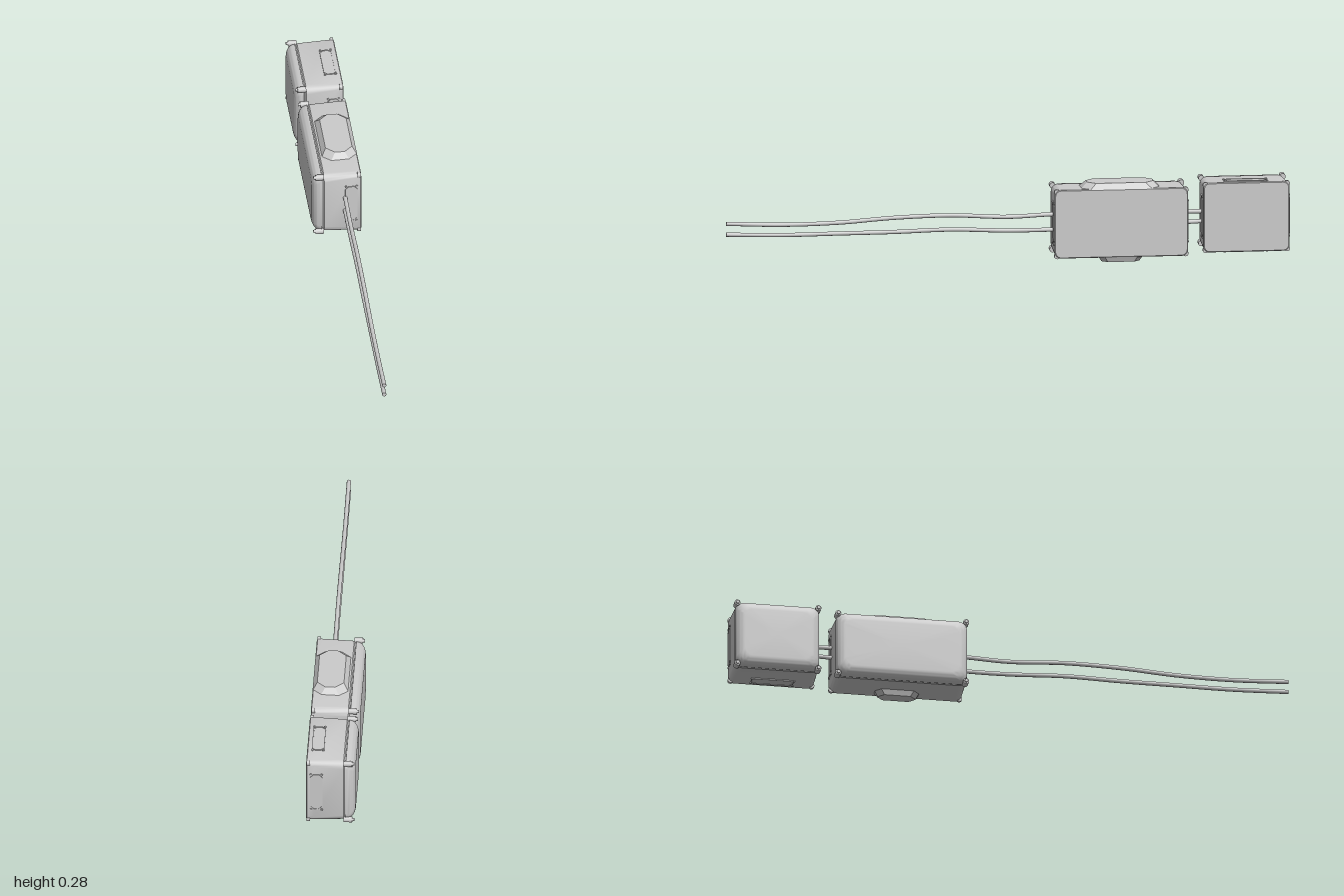
import * as THREE from 'three';
import { toCreasedNormals } from 'three/addons/utils/BufferGeometryUtils.js';

const grey = new THREE.MeshStandardMaterial({ color: 0xcccccc, side: THREE.DoubleSide });

function add(parent, name, geometry, x = 0, y = 0, z = 0) {
  const mesh = new THREE.Mesh(geometry, grey);
  mesh.name = name;
  mesh.position.set(x, y, z);
  parent.add(mesh);
  return mesh;
}

// Rounded-rectangle cross-sections [x, halfDepth, halfHeight, radius] joined along x.
function loft(sections) {
  const steps = 6, n = 4 * (steps + 1), pos = [], index = [];
  for (const [x, hz, hy, radius] of sections) {
    const r = Math.min(radius, hz, hy);
    for (let c = 0; c < 4; c++) {
      const sz = c === 0 || c === 3 ? 1 : -1, sy = c < 2 ? 1 : -1;
      for (let k = 0; k <= steps; k++) {
        const a = (c + k / steps) * Math.PI / 2;
        pos.push(x, sy * (hy - r) + r * Math.sin(a), sz * (hz - r) + r * Math.cos(a));
      }
    }
  }
  for (let i = 0; i < sections.length - 1; i++) {
    for (let j = 0; j < n; j++) {
      const a = i * n + j, b = i * n + (j + 1) % n;
      index.push(a, b, a + n, b, b + n, a + n);
    }
  }
  const g = new THREE.BufferGeometry();
  g.setAttribute('position', new THREE.Float32BufferAttribute(pos, 3));
  g.setIndex(index);
  return toCreasedNormals(g, 0.6);
}

// Rectangle with chamfered corners.
function octagon(w, h, c, Type = THREE.Shape) {
  const x = w / 2, y = h / 2;
  return new Type([[x, c - y], [x, y - c], [x - c, y], [c - x, y], [-x, y - c], [-x, c - y], [c - x, -y], [x - c, -y]]
    .map(([a, b]) => new THREE.Vector2(a, b)));
}

// Knockout cover: thin rim, sunken plate and four corner screws, facing local +z.
function knockout(length) {
  const g = new THREE.Group(), w = 0.044;
  const rim = octagon(w, length, 0.012);
  rim.holes.push(octagon(w - 0.007, length - 0.007, 0.01, THREE.Path));
  add(g, 'coverRim', new THREE.ExtrudeGeometry(rim, { depth: 0.004, bevelEnabled: false }), 0, 0, -0.001);
  add(g, 'coverPlate', new THREE.ExtrudeGeometry(octagon(w - 0.006, length - 0.006, 0.01), { depth: 0.002, bevelEnabled: false }), 0, 0, -0.001);
  for (const sx of [-1, 1]) for (const sy of [-1, 1]) {
    const screw = add(g, 'coverScrew', new THREE.CylinderGeometry(0.004, 0.004, 0.006, 12), sx * 0.019, sy * length / 2, 0.001);
    screw.rotation.x = Math.PI / 2;
  }
  return g;
}

function junctionBox(name, hz, hy) {
  const g = new THREE.Group();
  g.name = name;

  // Open-side tray with a flat mounting face
  add(g, 'tray', loft([
    [0.088, 0, 0, 0], [0.088, hz - 0.003, hy - 0.003, 0.02], [0.085, hz, hy, 0.02],
    [0.06, hz, hy, 0.022], [-0.044, hz - 0.002, hy - 0.002, 0.026],
    [-0.048, hz - 0.006, hy - 0.006, 0.026], [-0.048, 0, 0, 0],
  ]));

  // Domed lid: straight rim, then a quarter-round edge
  const lid = [[-0.046, hz - 0.006, hy - 0.006, 0.026], [-0.051, hz - 0.006, hy - 0.006, 0.026], [-0.052, hz - 0.002, hy - 0.002, 0.028]];
  for (let i = 0; i <= 8; i++) {
    const a = i / 8 * Math.PI / 2, inset = 0.003 + 0.032 * (1 - Math.cos(a));
    lid.push([-0.056 - 0.03 * Math.sin(a), hz - inset, hy - inset, 0.03]);
  }
  lid.push([-0.086, 0, 0, 0]);
  add(g, 'lid', loft(lid));

  // Corner lugs, lid screws and mounting feet
  for (const sy of [-1, 1]) for (const sz of [-1, 1]) {
    const y = sy * (hy - 0.008), z = sz * (hz - 0.008);
    for (const [part, r, len, x] of [['lidLug', 0.0105, 0.03, -0.06], ['lidScrew', 0.006, 0.008, -0.078], ['mountingLug', 0.01, 0.012, 0.08]]) {
      add(g, part, new THREE.CylinderGeometry(r, r, len, 16), x, y, z).rotation.z = Math.PI / 2;
    }
  }

  // Knockout covers on both ends
  for (const side of [1, -1]) {
    const cover = knockout(0.147);
    cover.name = 'endCover';
    cover.position.set(0.052, 0, side * hz);
    if (side < 0) cover.rotation.y = Math.PI;
    g.add(cover);
  }
  return g;
}

// Raised bevelled cover lying on a horizontal wall
function raisedCover(parent, name, w, length, height, slope, x, y, up) {
  const half = [w / 2, length / 2], c = 0.03;
  const pos = [], index = [], n = 8;
  for (const [inset, h] of [[0, -0.002], [slope * 0.6, height * 0.55], [slope, height]]) {
    const pts = octagon(2 * (half[0] - inset * 0.7), 2 * (half[1] - inset), Math.min(c, w / 3)).getPoints().slice(0, n);
    for (const p of pts) pos.push(p.x, p.y, h);
  }
  for (let r = 0; r < 2; r++) for (let j = 0; j < n; j++) {
    const a = r * n + j, b = r * n + (j + 1) % n;
    index.push(a, b, a + n, b, b + n, a + n);
  }
  for (let j = 1; j < n - 1; j++) index.push(2 * n, 2 * n + j, 2 * n + j + 1);
  const g = new THREE.BufferGeometry();
  g.setAttribute('position', new THREE.Float32BufferAttribute(pos, 3));
  g.setIndex(index);
  add(parent, name, toCreasedNormals(g, 0.3), x, y, 0).rotation.x = up ? -Math.PI / 2 : Math.PI / 2;
}

function cable(parent, name, points) {
  const curve = new THREE.CatmullRomCurve3(points.map(([z, y]) => new THREE.Vector3(0.03, y, z)));
  add(parent, name, new THREE.TubeGeometry(curve, 90, 0.0075, 12));
  const tip = add(parent, name + 'End', new THREE.CircleGeometry(0.0075, 12), 0.03, points[0][1], points[0][0]);
  tip.rotation.y = 0;
}

export function createModel() {
  const model = new THREE.Group();
  model.name = 'junctionBoxes';

  // Long box with raised covers above and below
  const long = junctionBox('longBox', 0.237, 0.123);
  long.position.set(0, 0.141, -0.4);
  raisedCover(long, 'topCover', 0.125, 0.28, 0.019, 0.022, 0.025, 0.123, true);
  raisedCover(long, 'bottomCover', 0.064, 0.16, 0.018, 0.012, 0.054, -0.123, false);
  model.add(long);

  // Short box with knockouts above and below
  const short = junctionBox('shortBox', 0.153, 0.125);
  short.position.set(0, 0.153, -0.845);
  for (const side of [1, -1]) {
    const cover = knockout(0.15);
    cover.name = side > 0 ? 'topCover' : 'bottomCover';
    cover.position.set(0.05, side * 0.125, 0);
    cover.rotation.x = -side * Math.PI / 2;
    short.add(cover);
  }
  model.add(short);

  // Wavy cables running through the long box into the short one
  cable(model, 'upperCable', [[1, 0.16], [0.8, 0.152], [0.6, 0.155], [0.4, 0.168], [0.2, 0.172], [0, 0.162], [-0.17, 0.168], [-0.45, 0.168], [-0.72, 0.166]]);
  cable(model, 'lowerCable', [[1, 0.121], [0.8, 0.115], [0.6, 0.116], [0.4, 0.117], [0.2, 0.121], [0, 0.113], [-0.17, 0.113], [-0.45, 0.122], [-0.72, 0.132]]);

  return model;
}
